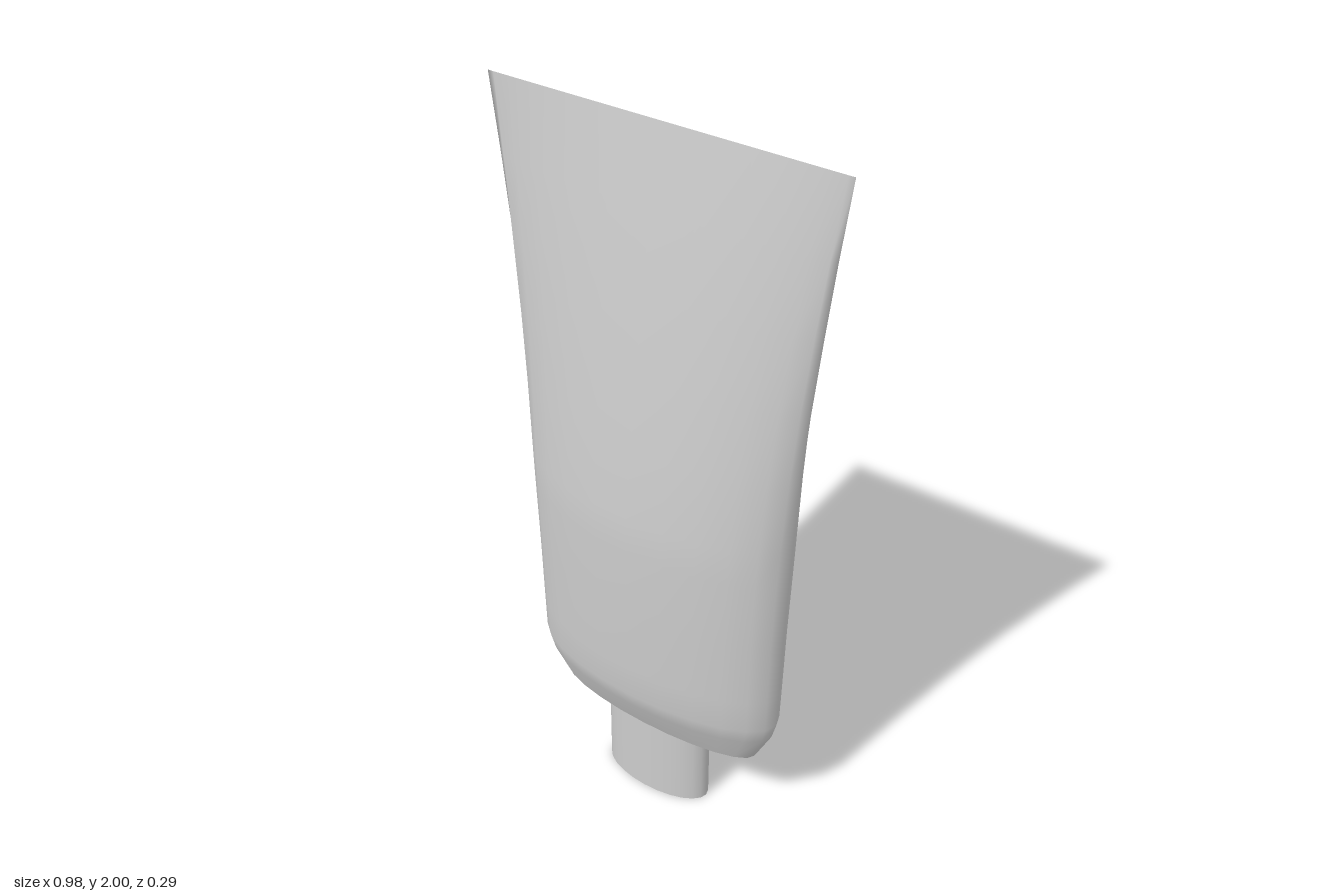
import * as THREE from 'three';
import { mergeVertices } from 'three/addons/utils/BufferGeometryUtils.js';

const SIDES = 24;
const material = new THREE.MeshStandardMaterial({ color: 0xcccccc });

// Elliptical sections of the tube: [height, half width, half depth]
const SECTIONS = [
  [0.25, 0.32, 0.075],
  [0.35, 0.37, 0.121],
  [0.4, 0.383, 0.135],
  [0.5, 0.385, 0.14],
  [0.7, 0.389, 0.145],
  [0.9, 0.396, 0.147],
  [1.0, 0.4, 0.143],
  [1.2, 0.41, 0.122],
  [1.4, 0.425, 0.096],
  [1.6, 0.445, 0.068],
  [1.8, 0.467, 0.036],
  [2.0, 0.492, 0.001],
];

// Skin through the sections, smooth all the way round
function loft(sections) {
  const rows = sections.length - 1;
  const geometry = new THREE.CylinderGeometry(1, 1, 1, SIDES, rows, true, Math.PI / 2);
  const p = geometry.attributes.position;
  for (let i = 0; i < p.count; i++) {
    const [y, w, d] = sections[Math.round((p.getY(i) + 0.5) * rows)];
    p.setXYZ(i, p.getX(i) * w, y, p.getZ(i) * d);
  }
  geometry.deleteAttribute('uv');
  geometry.deleteAttribute('normal');
  const welded = mergeVertices(geometry, 1e-4);
  welded.computeVertexNormals();
  return welded;
}

function part(name, geometry) {
  const mesh = new THREE.Mesh(geometry, material);
  mesh.name = name;
  return mesh;
}

export function createModel() {
  const group = new THREE.Group();
  group.name = 'squeezeTube';

  // Body flattening from an oval shoulder to a straight crimped edge
  group.add(part('tubeBody', loft(SECTIONS)));

  // Flat underside of the shoulder
  const [y, w, d] = SECTIONS[0];
  const base = new THREE.CircleGeometry(1, SIDES);
  base.rotateX(Math.PI / 2).scale(w, 1, d).translate(0, y, 0);
  group.add(part('shoulderBase', base));

  // Oval cap that the tube stands on
  const cap = new THREE.CylinderGeometry(1, 1, y, SIDES);
  cap.scale(0.165, 1, 0.072).translate(0, y / 2, 0);
  group.add(part('cap', cap));

  return group;
}
